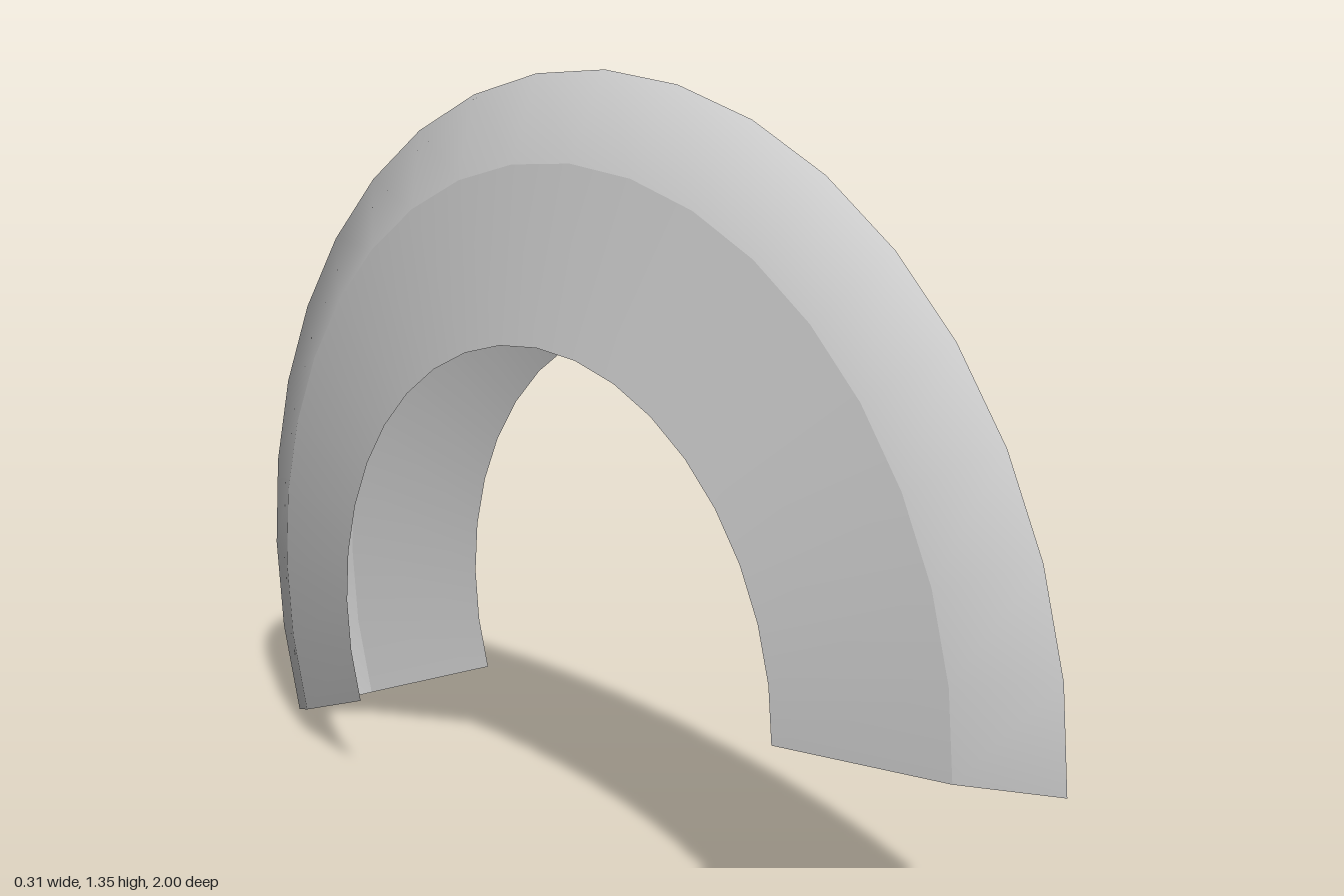
import * as THREE from 'three';

const ARC = 3.5;        // sweep of the fender in radians, front edge to rear tip
const AXLE_Y = 0.351;   // height of the wheel axis
const SEGMENTS = 20;

export function createModel() {
  const fender = new THREE.Group();
  fender.name = 'wheelFender';
  const material = new THREE.MeshStandardMaterial({ color: 0xcccccc, side: THREE.DoubleSide });

  // Sweep a strip of [radius, x] points around the wheel axis (x), from front to rear
  function addStrip(name, profile) {
    const points = profile.map(([r, x]) => new THREE.Vector2(r, x));
    const geometry = new THREE.LatheGeometry(points, SEGMENTS, -ARC, ARC);
    geometry.rotateZ(-Math.PI / 2);
    geometry.translate(0, AXLE_Y, 0);
    const mesh = new THREE.Mesh(geometry, material);
    mesh.name = name;
    fender.add(mesh);
  }

  // Ridged outer crown, shaded smoothly over the ridge
  addStrip('crown', [[0.85, -0.08], [1, 0], [0.85, 0.08]]);

  // Flared side panels, open along the inner rim and at both ends
  addStrip('leftSidePanel', [[0.85, 0.08], [0.55, 0.155]]);
  addStrip('rightSidePanel', [[0.55, -0.155], [0.85, -0.08]]);

  return fender;
}
